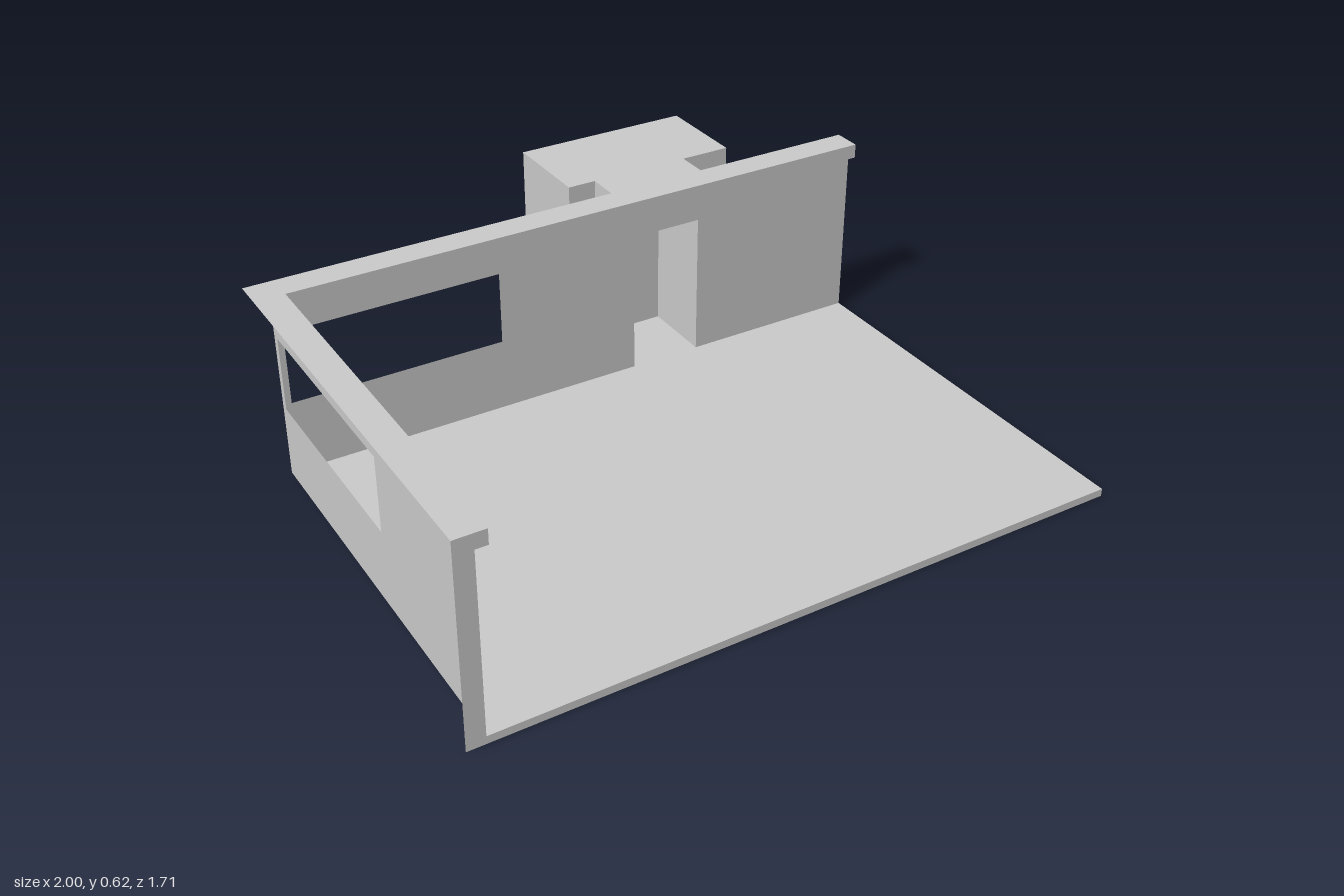
import * as THREE from 'three';

const material = new THREE.MeshStandardMaterial({ color: 0xcccccc, side: THREE.DoubleSide });

// Levels and plan lines
const FLOOR = 0.024, CAP = 0.572, TOP = 0.617;
const BACK = -0.457, BACK_IN = -0.40, BACK_CAP = -0.367, FRONT = 0.857;
const SIDE = -1, SIDE_IN = -0.945, SIDE_CAP = -0.91, END = 1;
const SILL = 0.253, HEAD = 0.482;

function add(parent, name, geometry) {
  const mesh = new THREE.Mesh(geometry, material);
  mesh.name = name;
  parent.add(mesh);
  return mesh;
}

const rect = (a0, a1, b0, b1) => [[a0, b0], [a1, b0], [a1, b1], [a0, b1]];

// Flat shape; sign flips one axis so that outlines stay in model coordinates
function flat(outline, holes, su, sv) {
  const points = (list) => list.map(([u, v]) => new THREE.Vector2(su * u, sv * v));
  const shape = new THREE.Shape(points(outline));
  shape.holes = holes.map((h) => new THREE.Path(points(h)));
  return new THREE.ShapeGeometry(shape);
}

// Sheet across the model at a given z, outline of [x, y] points
function crossSheet(parent, name, z, outline, holes = []) {
  add(parent, name, flat(outline, holes, 1, 1)).position.z = z;
}

// Sheet along the model at a given x, outline of [z, y] points
function sideSheet(parent, name, x, outline, holes = []) {
  const mesh = add(parent, name, flat(outline, holes, -1, 1));
  mesh.rotation.y = Math.PI / 2;
  mesh.position.x = x;
}

// Level sheet at a given height, outline of [x, z] points
function levelSheet(parent, name, y, outline) {
  const mesh = add(parent, name, flat(outline, [], 1, -1));
  mesh.rotation.x = -Math.PI / 2;
  mesh.position.y = y;
}

// Upright sheets following a plan path of [x, z] points
function uprightSheets(parent, name, path, y0, y1) {
  const pos = [];
  for (let i = 0; i < path.length - 1; i++) {
    const [ax, az] = path[i], [bx, bz] = path[i + 1];
    pos.push(ax, y0, az, bx, y0, bz, bx, y1, bz, ax, y0, az, bx, y1, bz, ax, y1, az);
  }
  const geometry = new THREE.BufferGeometry();
  geometry.setAttribute('position', new THREE.Float32BufferAttribute(pos, 3));
  geometry.computeVertexNormals();
  add(parent, name, geometry);
}

// End profile: floor lip, wall thickness and cap as one L-shaped outline
const profile = (far, outer, inner, cap) => [
  [far, 0], [far, FLOOR], [inner, FLOOR], [inner, CAP], [cap, CAP], [cap, TOP], [outer, TOP], [outer, 0],
];

export function createModel() {
  const model = new THREE.Group();
  model.name = 'room';
  const group = (name) => {
    const g = new THREE.Group();
    g.name = name;
    model.add(g);
    return g;
  };

  levelSheet(model, 'floor', FLOOR, rect(SIDE_IN, END, BACK_IN, FRONT));

  // Walls, with a window each and a doorway notched into the back one
  const walls = group('walls');
  crossSheet(walls, 'backWall', BACK_IN, [
    [SIDE_IN, FLOOR], [0.2, FLOOR], [0.2, HEAD], [0.43, HEAD], [0.43, FLOOR],
    [END, FLOOR], [END, CAP], [SIDE_IN, CAP],
  ], [rect(-0.92, -0.257, SILL, HEAD)]);
  sideSheet(walls, 'sideWall', SIDE_IN, rect(BACK_IN, FRONT, FLOOR, CAP),
    [rect(-0.377, 0.287, SILL, HEAD)]);

  // Cut ends, showing floor and wall thickness
  crossSheet(walls, 'frontEnd', FRONT, profile(END, SIDE, SIDE_IN, SIDE_CAP));
  sideSheet(walls, 'leftEnd', END, profile(FRONT, BACK, BACK_IN, BACK_CAP));

  // Cap along both walls: underside, inner edge and top
  const cap = group('wallCap');
  const lShape = (x0, z0, x1, z1) => [
    [x0, FRONT], [x0, z0], [END, z0], [END, z1], [x1, z1], [x1, FRONT],
  ];
  levelSheet(cap, 'capUnderside', CAP, lShape(SIDE_IN, BACK_IN, SIDE_CAP, BACK_CAP));
  uprightSheets(cap, 'capEdge', [[SIDE_CAP, FRONT], [SIDE_CAP, BACK_CAP], [END, BACK_CAP]], CAP, TOP);
  levelSheet(cap, 'capTop', TOP, lShape(SIDE, BACK, SIDE_CAP, BACK_CAP));

  // Door recess behind the doorway
  const recess = group('doorRecess');
  const recessPlan = [[0.43, BACK_IN], [0.43, -0.635], [0.2, -0.635], [0.2, BACK_IN]];
  uprightSheets(recess, 'recessWalls', recessPlan, FLOOR, HEAD);
  levelSheet(recess, 'recessFloor', FLOOR, recessPlan);
  levelSheet(recess, 'recessCeiling', HEAD, recessPlan);

  // Annex around the recess, open at the back and below
  const annex = group('annex');
  const annexLeft = [[0.473, BACK], [0.473, -0.557], [0.633, -0.557], [0.633, -0.857]];
  const annexRight = [[0.065, -0.857], [0.065, -0.557], [0.155, -0.557], [0.155, BACK]];
  uprightSheets(annex, 'annexLeftWalls', annexLeft, FLOOR, TOP);
  uprightSheets(annex, 'annexRightWalls', annexRight, FLOOR, TOP);
  levelSheet(annex, 'annexRoof', TOP, [...annexLeft, ...annexRight]);

  return model;
}
